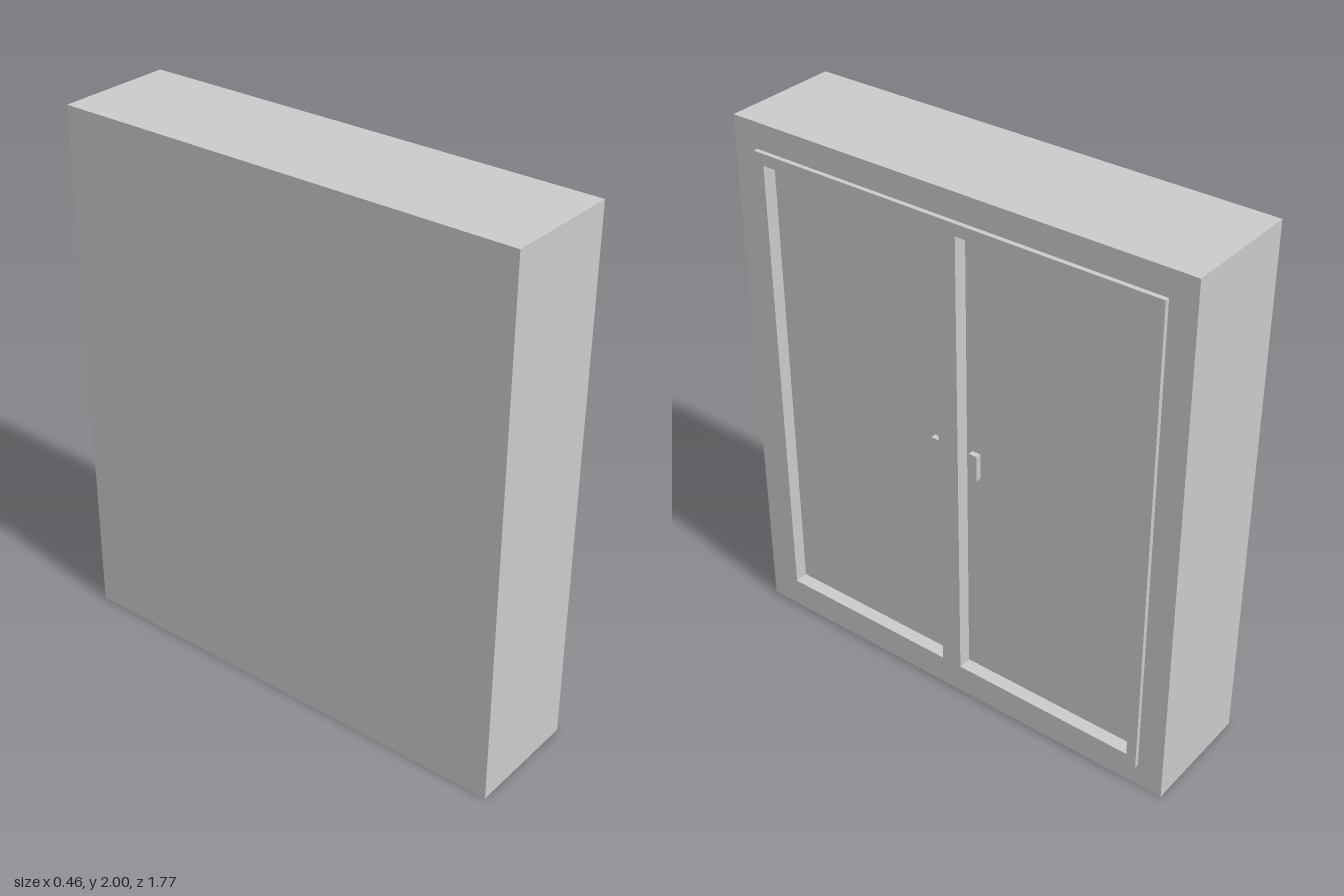
import * as THREE from 'three';

const material = new THREE.MeshStandardMaterial({ color: 0xcccccc, flatShading: true });

// Depths along x, the side the doors face
const BACK = -0.23, FACE = 0.213, FRAME = 0.23, PANEL = 0.18;
const HALF_WIDTH = 0.887, HEIGHT = 2;
const opening = { inner: 0.04, outer: 0.752, bottom: 0.132, top: 1.862 };

function rectangle(type, u0, u1, y0, y1) {
  const r = new type();
  r.moveTo(u0, y0);
  r.lineTo(u1, y0);
  r.lineTo(u1, y1);
  r.lineTo(u0, y1);
  r.closePath();
  return r;
}

function addMesh(parent, name, geometry) {
  const mesh = new THREE.Mesh(geometry, material);
  mesh.name = name;
  parent.add(mesh);
  return mesh;
}

function addBox(parent, name, [x0, x1], [y0, y1], [z0, z1]) {
  const mesh = addMesh(parent, name, new THREE.BoxGeometry(x1 - x0, y1 - y0, z1 - z0));
  mesh.position.set((x0 + x1) / 2, (y0 + y1) / 2, (z0 + z1) / 2);
  return mesh;
}

export function createModel() {
  const cabinet = new THREE.Group();
  cabinet.name = 'cabinet';

  // Carcass: a box whose +x side is left open for the door face
  const carcass = addBox(cabinet, 'carcass', [BACK, FACE], [0, HEIGHT], [-HALF_WIDTH, HALF_WIDTH]);
  carcass.geometry.setIndex([...carcass.geometry.index.array].slice(6));
  carcass.geometry.clearGroups();

  // Flat border around the door frame
  const border = rectangle(THREE.Shape, -HALF_WIDTH, HALF_WIDTH, 0, HEIGHT);
  border.holes.push(rectangle(THREE.Path, -0.79, 0.79, 0.09, 1.905));
  const borderGeometry = new THREE.ShapeGeometry(border);
  borderGeometry.rotateY(Math.PI / 2).translate(FACE, 0, 0);
  addMesh(cabinet, 'faceBorder', borderGeometry);

  // Raised frame with two openings; its jambs reach back to the door panels
  const frame = rectangle(THREE.Shape, -0.79, 0.79, 0.09, 1.905);
  for (const s of [-1, 1]) {
    const u = [s * opening.inner, s * opening.outer].sort((a, b) => a - b);
    frame.holes.push(rectangle(THREE.Path, u[0], u[1], opening.bottom, opening.top));
  }
  const frameGeometry = new THREE.ExtrudeGeometry(frame, { depth: FRAME - PANEL, bevelEnabled: false });
  frameGeometry.rotateY(Math.PI / 2).translate(PANEL, 0, 0);
  addMesh(cabinet, 'doorFrame', frameGeometry);

  // Recessed door panels and their handles
  for (const s of [-1, 1]) {
    const door = new THREE.Group();
    door.name = s > 0 ? 'frontDoor' : 'backDoor';
    const span = (a, b) => [s * a, s * b].sort((p, q) => p - q);
    addBox(door, 'doorPanel', [PANEL - 0.02, PANEL], [opening.bottom, opening.top], span(opening.inner, opening.outer));
    addBox(door, 'handle', [PANEL, PANEL + 0.02], [0.957, 1.055], span(0.063, 0.095));
    cabinet.add(door);
  }

  return cabinet;
}
